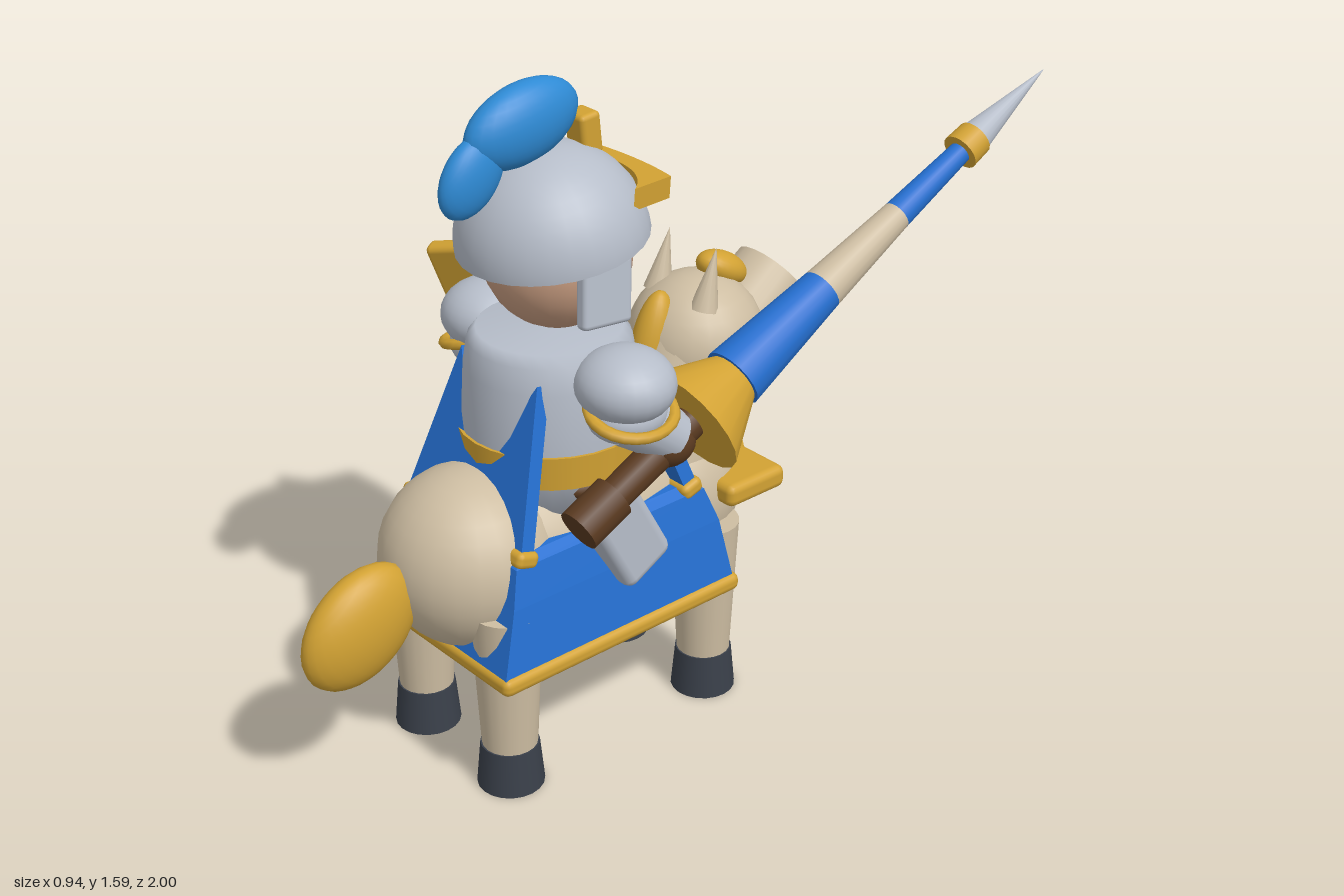
import * as THREE from 'three';
import { RoundedBoxGeometry } from 'three/addons/geometries/RoundedBoxGeometry.js';

const mat = (name, color, side = THREE.FrontSide) => {
  const m = new THREE.MeshStandardMaterial({ color, side });
  m.name = name;
  return m;
};

export function createModel() {
  const coat = mat('coat beige', 0xcdbda2), hoof = mat('dark slate', 0x3a404a);
  const steel = mat('steel', 0xb6bdc9, THREE.DoubleSide), blue = mat('cloth blue', 0x256fd0);
  const feather = mat('feather blue', 0x2e8ad4), gold = mat('gold', 0xd2a233);
  const brown = mat('leather', 0x5a3a20), skin = mat('skin', 0xc79c80);

  const model = new THREE.Group();
  model.name = 'mountedKnight';
  // everything except the shield is symmetric about x = 0.05
  const figure = new THREE.Group();
  figure.name = 'figure';
  figure.position.x = 0.05;
  model.add(figure);

  const add = (name, geo, material, p = [0, 0, 0], r = [0, 0, 0], parent = figure) => {
    const m = new THREE.Mesh(geo, material);
    m.name = name;
    m.position.set(...p);
    m.rotation.set(...r);
    parent.add(m);
    return m;
  };
  const ball = (name, material, p, s, r) => add(name, new THREE.SphereGeometry(1, 24, 16).scale(...s), material, p, r);
  const box = (w, h, d, rad = 0.012) => new RoundedBoxGeometry(w, h, d, 2, rad);
  const cyl = (top, bottom, h, seg = 20) => new THREE.CylinderGeometry(top, bottom, h, seg);
  // tapered limb between two points
  const limb = (name, material, a, b, ra, rb) => {
    const A = new THREE.Vector3(...a), B = new THREE.Vector3(...b);
    const m = add(name, cyl(rb, ra, A.distanceTo(B)), material, A.clone().lerp(B, 0.5).toArray());
    m.quaternion.setFromUnitVectors(new THREE.Vector3(0, 1, 0), B.sub(A).normalize());
    return m;
  };

  // Horse body
  ball('belly', coat, [0, 0.5, 0.29], [0.215, 0.235, 0.42]);
  ball('rump', coat, [0, 0.52, 0.55], [0.21, 0.212, 0.21]);
  ball('chest', coat, [0, 0.5, -0.01], [0.2, 0.21, 0.2]);
  limb('neck', coat, [0, 0.55, 0.0], [0, 0.86, -0.11], 0.17, 0.14);
  ball('horseHead', coat, [0, 0.845, -0.13], [0.165, 0.165, 0.165]);
  limb('muzzle', coat, [0, 0.78, -0.18], [0, 0.935, -0.38], 0.115, 0.1);
  ball('forelock', gold, [0, 1.0, -0.21], [0.05, 0.04, 0.075], [-0.5, 0, 0]);
  ball('mane', gold, [0, 0.87, 0.01], [0.045, 0.13, 0.05], [-0.25, 0, 0]);
  ball('tail', gold, [0, 0.453, 0.855], [0.068, 0.125, 0.16], [0.65, 0, 0]);
  // half hoop under the muzzle
  const bridle = new THREE.TorusGeometry(0.115, 0.02, 8, 20, Math.PI).rotateZ(Math.PI);
  add('bridle', bridle, gold, [0, 0.815, -0.265], [0.58, 0, 0]);

  for (const s of [-1, 1]) {
    add('ear', new THREE.ConeGeometry(0.035, 0.15, 12), coat, [s * 0.08, 1.03, -0.1], [-0.25, 0, 0]);
    ball('horseEye', hoof, [s * 0.135, 0.885, -0.195], [0.035, 0.036, 0.035]);
    for (const z of [0.575, -0.02]) {
      add('leg', cyl(0.082, 0.064, 0.36), coat, [s * 0.16, 0.28, z]);
      add('hoof', cyl(0.068, 0.078, 0.108), hoof, [s * 0.16, 0.054, z]);
    }
  }

  // Breast collar with boss
  add('breastCollar', box(0.48, 0.058, 0.18, 0.02), gold, [0, 0.54, -0.118]);
  add('collarBoss', cyl(0.07, 0.07, 0.045), gold, [0, 0.525, -0.21], [Math.PI / 2, 0, 0]);
  ball('collarStud', steel, [0, 0.525, -0.238], [0.04, 0.04, 0.04]);

  // Caparison: stacked rectangles [y, half width, z min, z max]
  const levels = [[0.34, 0.262, -0.02, 0.66], [0.5, 0.235, 0.005, 0.61], [0.585, 0.215, 0.035, 0.585], [0.6, 0.19, 0.06, 0.56]];
  const pos = [], idx = [];
  levels.forEach(([y, h, z0, z1]) => pos.push(-h, y, z1, h, y, z1, h, y, z0, -h, y, z0));
  for (let l = 0; l < levels.length - 1; l++) {
    for (let i = 0; i < 4; i++) {
      const a = l * 4 + i, b = l * 4 + (i + 1) % 4;
      idx.push(a, b, b + 4, a, b + 4, a + 4);
    }
  }
  idx.push(12, 13, 14, 12, 14, 15);
  let drape = new THREE.BufferGeometry();
  drape.setAttribute('position', new THREE.Float32BufferAttribute(pos, 3));
  drape.setIndex(idx);
  drape = drape.toNonIndexed();
  drape.computeVertexNormals();
  add('caparison', drape, blue);
  add('caparisonTrim', box(0.545, 0.044, 0.7, 0.018), gold, [0, 0.333, 0.315]);
  ball('saddle', brown, [0, 0.69, 0.29], [0.22, 0.065, 0.185]);

  // Rider torso
  const torso = [[0, 0.62], [0.19, 0.62], [0.21, 0.78], [0.195, 0.93], [0.185, 0.99], [0.165, 1.015], [0, 1.02]];
  add('torso', new THREE.LatheGeometry(torso.map(([x, y]) => new THREE.Vector2(x, y)), 28), steel, [0, 0, 0.31]);
  add('belt', cyl(0.216, 0.212, 0.08, 28), gold, [0, 0.75, 0.31]);

  // Tabard panels, back and front
  const panel = new THREE.Shape([[-0.21, 0], [0.21, 0], [0.135, 0.375], [0.06, 0.23], [-0.06, 0.23], [-0.135, 0.375]]
    .map(([x, y]) => new THREE.Vector2(x, y)));
  for (const s of [1, -1]) {
    const g = new THREE.Group();
    g.name = s > 0 ? 'backTabard' : 'frontTabard';
    g.position.set(0, 0.59, 0.31 + s * 0.225);
    g.rotation.set(-0.31, s > 0 ? 0 : Math.PI, 0, 'YXZ');
    figure.add(g);
    add('tabardCloth', new THREE.ExtrudeGeometry(panel, { depth: 0.035, bevelEnabled: false }), blue, [0, 0, 0], [0, 0, 0], g);
    add('tabardHem', box(0.44, 0.04, 0.06, 0.015), gold, [0, 0, 0.017], [0, 0, 0], g);
  }

  // Shoulders, arms and thighs
  for (const s of [-1, 1]) {
    ball('pauldron', steel, [s * 0.24, 0.953, 0.295], [0.115, 0.084, 0.112]);
    ball('lowerPauldron', steel, [s * 0.245, 0.885, 0.295], [0.085, 0.065, 0.095]);
    add('pauldronTrim', new THREE.TorusGeometry(0.088, 0.013, 8, 24).rotateX(Math.PI / 2).scale(1, 1, 1.13), gold,
      [s * 0.26, 0.895, 0.295], [0, 0, -s * 0.3]);
    add('thigh', box(0.1, 0.23, 0.145, 0.025), steel, [s * 0.23, 0.58, 0.3], [0.5, 0, 0]);
  }
  limb('rightArm', steel, [0.245, 0.88, 0.29], [0.275, 0.8, 0.19], 0.075, 0.06);
  limb('leftArm', steel, [-0.245, 0.88, 0.29], [-0.3, 0.86, 0.17], 0.075, 0.06);
  ball('rightGlove', brown, [0.275, 0.79, 0.2], [0.055, 0.055, 0.065]);
  ball('leftGlove', brown, [-0.3, 0.86, 0.17], [0.055, 0.055, 0.055]);

  // Head and helmet
  ball('head', skin, [0, 1.182, 0.285], [0.168, 0.168, 0.168]);
  ball('nose', skin, [0, 1.17, 0.115], [0.024, 0.022, 0.024]);
  add('helmet', new THREE.SphereGeometry(0.217, 28, 12, 0, Math.PI * 2, 0, Math.PI / 2), steel, [0, 1.22, 0.297], [0.14, 0, 0]);
  for (const s of [-1, 1]) {
    ball('eye', hoof, [s * 0.065, 1.19, 0.133], [0.018, 0.026, 0.012]);
    add('brow', box(0.05, 0.016, 0.016, 0.006), brown, [s * 0.065, 1.235, 0.132], [0, 0, s * 0.15]);
    add('cheekGuard', box(0.035, 0.15, 0.135), steel, [s * 0.178, 1.15, 0.3], [-0.1, 0, s * 0.1]);
  }
  // visor: plate with a round cut, drawn with forward as +y
  const peak = new THREE.Shape();
  peak.moveTo(-0.17, 0.08);
  peak.lineTo(-0.145, 0.205);
  peak.quadraticCurveTo(0, 0.235, 0.145, 0.205);
  peak.lineTo(0.17, 0.08);
  peak.quadraticCurveTo(0.1, 0.17, 0, 0.17);
  peak.quadraticCurveTo(-0.1, 0.17, -0.17, 0.08);
  const visor = new THREE.ExtrudeGeometry(peak, { depth: 0.05, bevelEnabled: false, curveSegments: 10 }).rotateX(-Math.PI / 2);
  add('visor', visor, gold, [0, 1.315, 0.29], [-0.08, 0, 0]);
  add('plumeClip', box(0.065, 0.1, 0.055), gold, [0, 1.44, 0.205], [0.1, 0, 0]);
  ball('plume', feather, [0, 1.5, 0.375], [0.06, 0.09, 0.15], [0.2, 0, 0]);
  ball('plumeTip', feather, [0, 1.415, 0.51], [0.04, 0.07, 0.1], [0.9, 0, 0]);

  // Lance: sections [name, material, z back, z front, radius back, radius front]
  const lance = new THREE.Group();
  lance.name = 'lance';
  lance.position.set(0.276, 0.9, -0.02);
  lance.rotation.x = -Math.atan2(1, 0.49);
  figure.add(lance);
  const along = (z) => (-0.02 - z) * 1.114;
  [['lanceButt', brown, 0.46, 0.36, 0.052, 0.052],
    ['lanceGrip', brown, 0.37, 0.1, 0.038, 0.042],
    ['handGuard', gold, 0.14, 0.0, 0.14, 0.06],
    ['lanceBase', blue, 0.01, -0.265, 0.075, 0.052],
    ['lanceMiddle', coat, -0.265, -0.505, 0.052, 0.036],
    ['lanceUpper', blue, -0.505, -0.74, 0.036, 0.026],
    ['lanceCollar', gold, -0.715, -0.765, 0.047, 0.045],
    ['lanceTip', steel, -0.765, -1.0, 0.04, 0.001],
  ].forEach(([n, m, z0, z1, r0, r1]) =>
    add(n, cyl(r1, r0, along(z1) - along(z0), 18), m, [0, (along(z0) + along(z1)) / 2, 0], [0, 0, 0], lance));

  // Shield facing forward and outward
  const shield = new THREE.Group();
  shield.name = 'shield';
  shield.position.set(-0.285, 0.87, 0.12);
  shield.rotation.set(-0.27, Math.PI + 0.46, -0.22, 'YXZ');
  model.add(shield);
  add('shieldBoard', box(0.385, 0.41, 0.045, 0.015), gold, [0, 0, 0], [0, 0, 0], shield);
  add('shieldField', new THREE.BoxGeometry(0.31, 0.335, 0.009), blue, [0, 0, 0.026], [0, 0, 0], shield);
  add('shieldEmblem', box(0.12, 0.12, 0.03, 0.008), gold, [0, 0, 0.035], [0, 0, 0], shield);

  return model;
}
